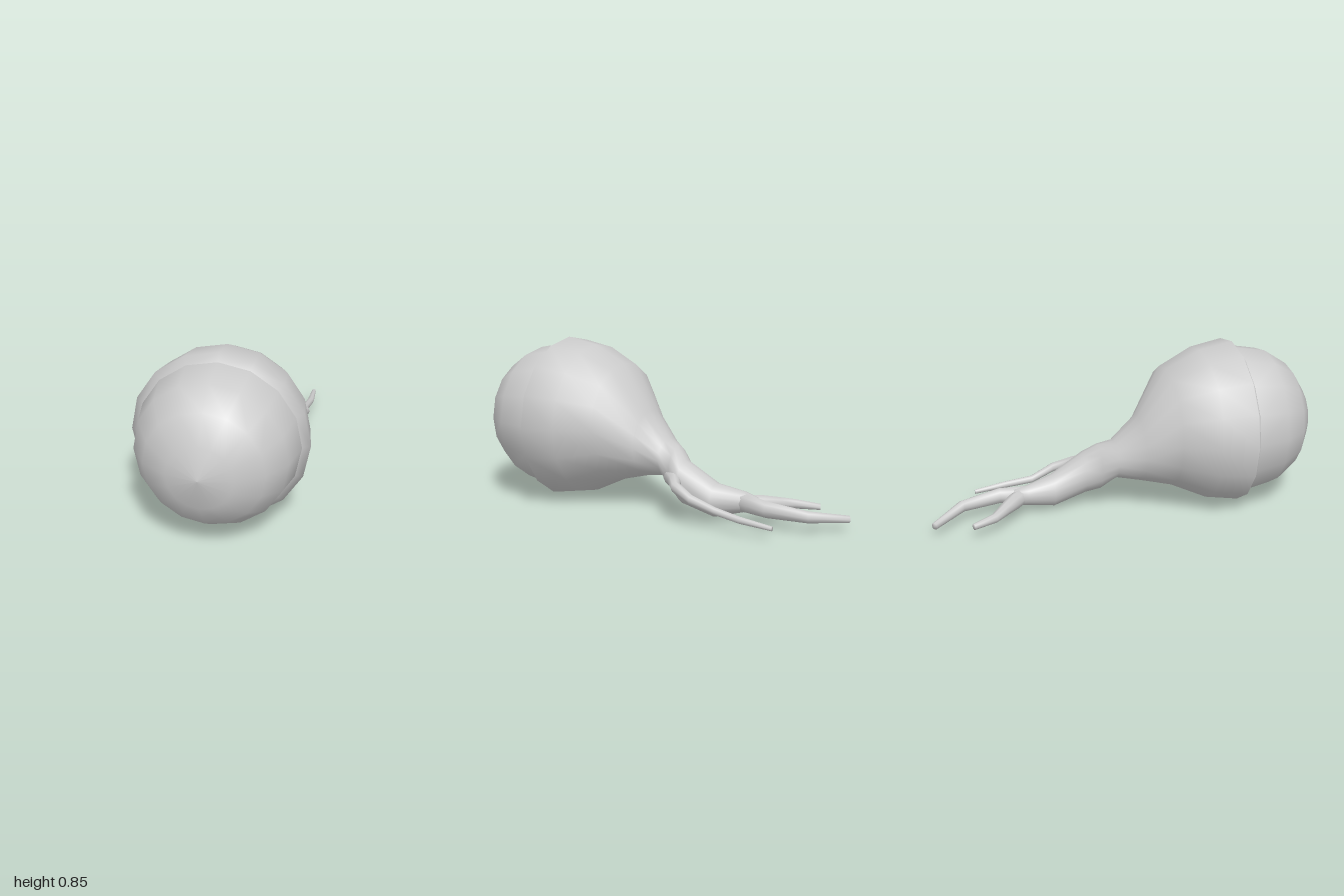
import * as THREE from 'three';

const material = new THREE.MeshStandardMaterial({ color: 0xcccccc });

// Loft of elliptical rings [x, y, z, halfWidth, halfHeight]; 'upright' keeps every ring facing z,
// otherwise rings turn with the path. The far end is closed with a centre point.
function loft(name, rings, sides, upright = false) {
  const pos = [], index = [];
  rings.forEach(([x, y, z, rx, ry = rx], i) => {
    const a = rings[Math.max(i - 1, 0)], b = rings[Math.min(i + 1, rings.length - 1)];
    const dir = upright ? new THREE.Vector2(0, -1) : new THREE.Vector2(b[0] - a[0], b[2] - a[2]).normalize();
    for (let j = 0; j < sides; j++) {
      const t = (j / sides) * Math.PI * 2, w = rx * Math.cos(t);
      pos.push(x - dir.y * w, y + ry * Math.sin(t), z + dir.x * w);
    }
  });
  for (let i = 0; i < rings.length - 1; i++) {
    for (let j = 0; j < sides; j++) {
      const k = (j + 1) % sides;
      const a = i * sides + j, b = i * sides + k, c = a + sides, d = b + sides;
      index.push(a, c, b, b, c, d);
    }
  }
  const last = (rings.length - 1) * sides, tip = rings.length * sides;
  pos.push(...rings[rings.length - 1].slice(0, 3));
  for (let j = 0; j < sides; j++) index.push(last + j, tip, last + ((j + 1) % sides));
  const geometry = new THREE.BufferGeometry();
  geometry.setAttribute('position', new THREE.Float32BufferAttribute(pos, 3));
  geometry.setIndex(index);
  geometry.computeVertexNormals();
  const mesh = new THREE.Mesh(geometry, material);
  mesh.name = name;
  return mesh;
}

export function createModel() {
  const model = new THREE.Group();
  model.name = 'eyeball';

  // Front of the eye: a 16-sided dome
  const profile = [[0.37, 0.5], [0.39, 0.61], [0.36, 0.77], [0.28, 0.89], [0.155, 0.97], [0, 1]];
  const dome = new THREE.LatheGeometry(profile.map(([r, z]) => new THREE.Vector2(r, z)), 16);
  dome.rotateX(Math.PI / 2);
  dome.translate(0, 0.43, 0);
  const front = new THREE.Mesh(dome, material);
  front.name = 'frontDome';
  model.add(front);

  // Back shell with its lip, narrowing into the nerve stalk
  model.add(loft('backShellAndStalk', [
    [0, 0.43, 0.607, 0.385],
    [0, 0.43, 0.583, 0.427],
    [0, 0.43, 0.41, 0.396],
    [0, 0.43, 0.23, 0.31],
    [-0.015, 0.33, 0.08, 0.173, 0.172],
    [0.005, 0.275, -0.045, 0.115, 0.097],
    [0.04, 0.225, -0.12, 0.1, 0.12],
    [0.085, 0.18, -0.19, 0.095, 0.11],
    [0.07, 0.105, -0.36, 0.08, 0.085],
    [0.035, 0.107, -0.5, 0.047, 0.052],
    [0.045, 0.1, -0.57, 0.04, 0.042],
  ], 16, true));

  // Main nerve fork, continuing the stalk to the rear
  model.add(loft('longBranch', [
    [0.035, 0.108, -0.47, 0.045, 0.05],
    [0.055, 0.105, -0.54, 0.042, 0.048],
    [0.083, 0.1, -0.64, 0.038, 0.042],
    [0.045, 0.083, -0.84, 0.028, 0.03],
    [-0.095, 0.062, -0.995, 0.018],
  ], 8));

  // Short fork curling towards the right
  model.add(loft('shortBranch', [
    [0.05, 0.105, -0.52, 0.04, 0.042],
    [-0.01, 0.1, -0.58, 0.04, 0.042],
    [-0.07, 0.095, -0.635, 0.032],
    [-0.135, 0.085, -0.7, 0.024],
    [-0.18, 0.075, -0.81, 0.016],
  ], 8));

  // Thin side nerve leaving the stalk on the left
  model.add(loft('sideBranch', [
    [0.11, 0.2, -0.12, 0.04],
    [0.17, 0.2, -0.175, 0.035],
    [0.225, 0.185, -0.215, 0.028],
    [0.258, 0.145, -0.32, 0.025],
    [0.235, 0.1, -0.44, 0.02],
    [0.248, 0.08, -0.58, 0.018],
    [0.24, 0.062, -0.745, 0.012],
  ], 8));

  return model;
}
